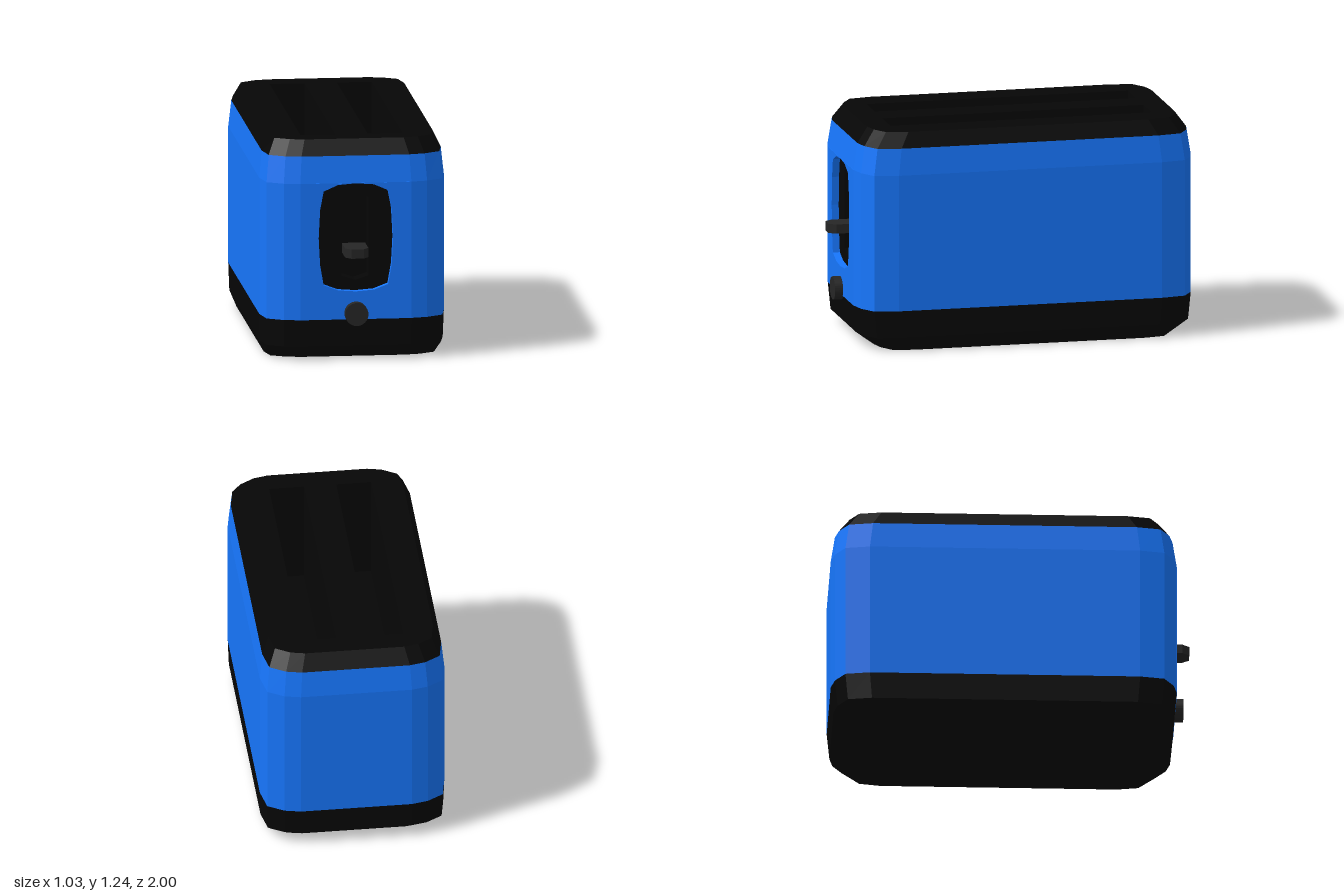
import * as THREE from 'three';

const paint = (color) => new THREE.MeshStandardMaterial({ color, side: THREE.DoubleSide, flatShading: true });

// Plan outline of the body for given half width and half length
const QUARTER = [[0.31, 0.96], [0.40, 0.94], [0.49, 0.885], [0.515, 0.75]];
function outline(hx, hz) {
  const q = QUARTER.map(([x, z]) => [x * hx / 0.515, z * hz / 0.96]);
  const r = [...q].reverse();
  return [
    ...q,
    ...r.map(([x, z]) => [x, -z]),
    ...q.map(([x, z]) => [-x, -z]),
    ...r.map(([x, z]) => [-x, z]),
  ];
}

// Walls joining stacked outlines; levels are [y, half width, half length]
function walls(levels, skip = () => false) {
  const pos = [];
  for (let l = 0; l + 1 < levels.length; l++) {
    const [y0, x0, z0] = levels[l], [y1, x1, z1] = levels[l + 1];
    const lo = outline(x0, z0), hi = outline(x1, z1), n = lo.length;
    for (let i = 0; i < n; i++) {
      if (skip(l, i)) continue;
      const j = (i + 1) % n;
      const a = [lo[i][0], y0, lo[i][1]], b = [lo[j][0], y0, lo[j][1]];
      const c = [hi[j][0], y1, hi[j][1]], d = [hi[i][0], y1, hi[i][1]];
      pos.push(...a, ...b, ...c, ...a, ...c, ...d);
    }
  }
  const g = new THREE.BufferGeometry();
  g.setAttribute('position', new THREE.Float32BufferAttribute(pos, 3));
  g.computeVertexNormals();
  return g;
}

const poly = (pts) => new THREE.Shape(pts.map(([x, y]) => new THREE.Vector2(x, y)));
const rect = (x0, x1, y0, y1) => poly([[x0, y0], [x1, y0], [x1, y1], [x0, y1]]);
const extrude = (shape, depth) => new THREE.ExtrudeGeometry(shape, { depth, bevelEnabled: false });

export function createModel() {
  const model = new THREE.Group();
  model.name = 'toaster';
  const blue = paint(0x1776fc), black = paint(0x060606), grey = paint(0x262626);
  const add = (name, geo, mat, x = 0, y = 0, z = 0) => {
    const m = new THREE.Mesh(geo, mat);
    m.name = name;
    m.position.set(x, y, z);
    model.add(m);
  };
  const zc = -0.04, front = 0.922;

  // Shell in three bands; the flat front panel is left out for the recess
  add('base', walls([[0, 0.48, 0.84], [0.077, 0.51, 0.945], [0.23, 0.515, 0.96]]), black, 0, 0, zc);
  add('shell', walls([[0.23, 0.515, 0.96], [1.0, 0.515, 0.96], [1.15, 0.50, 0.937]],
    (l, i) => l === 0 && i === 15), blue, 0, 0, zc);
  add('topRim', walls([[1.15, 0.50, 0.937], [1.235, 0.46, 0.875]]), black, 0, 0, zc);
  add('underside', new THREE.ShapeGeometry(poly(outline(0.48, 0.84))).rotateX(Math.PI / 2), black, 0, 0, zc);

  // Top plate with two bread slots, their walls and floor
  const top = poly(outline(0.46, 0.875)), liner = rect(-0.32, 0.32, -0.78, 0.78);
  for (const c of [-0.1875, 0.1875]) {
    const slot = rect(c - 0.0975, c + 0.0975, -0.745, 0.745);
    top.holes.push(slot);
    liner.holes.push(slot);
  }
  add('topPlate', new THREE.ShapeGeometry(top).rotateX(-Math.PI / 2), black, 0, 1.235, zc);
  add('slotWalls', extrude(liner, 0.6).rotateX(-Math.PI / 2), black, 0, 0.634, zc);
  add('slotFloor', new THREE.BoxGeometry(0.64, 0.02, 1.56), black, 0, 0.625, zc);

  // Front panel with a barrel-shaped opening
  const half = [[0, 0.387], [0.1, 0.395], [0.18, 0.425], [0.20, 0.54], [0.208, 0.69],
    [0.20, 0.85], [0.18, 0.955], [0.1, 0.99], [0, 0.998]];
  const barrel = [...half, ...half.slice(1, -1).reverse().map(([x, y]) => [-x, y])];
  const panel = rect(-0.31, 0.31, 0.23, 1.0);
  panel.holes.push(poly(barrel));
  add('frontPanel', extrude(panel, 0.04), blue, 0, 0, front - 0.04);

  // Recessed lever plate with its hexagonal track
  const plate = poly(barrel);
  plate.holes.push(poly([[0, 0.445], [0.075, 0.47], [0.075, 0.91], [0, 0.94], [-0.075, 0.91], [-0.075, 0.47]]));
  add('leverPlate', extrude(plate, 0.09), black, 0, 0, front - 0.13);
  add('trackBack', new THREE.BoxGeometry(0.2, 0.54, 0.02), black, 0, 0.69, front - 0.14);

  // Lever with chamfered nose, and the browning knob
  const lever = poly([[-0.065, -0.8], [-0.065, -0.96], [-0.035, -1.0],
    [0.035, -1.0], [0.065, -0.96], [0.065, -0.8]]);
  add('lever', extrude(lever, 0.052).rotateX(-Math.PI / 2), grey, 0, 0.587, 0);
  add('knob', new THREE.CylinderGeometry(0.065, 0.065, 0.09, 32).rotateX(Math.PI / 2),
    grey, 0, 0.265, 0.922);

  return model;
}
